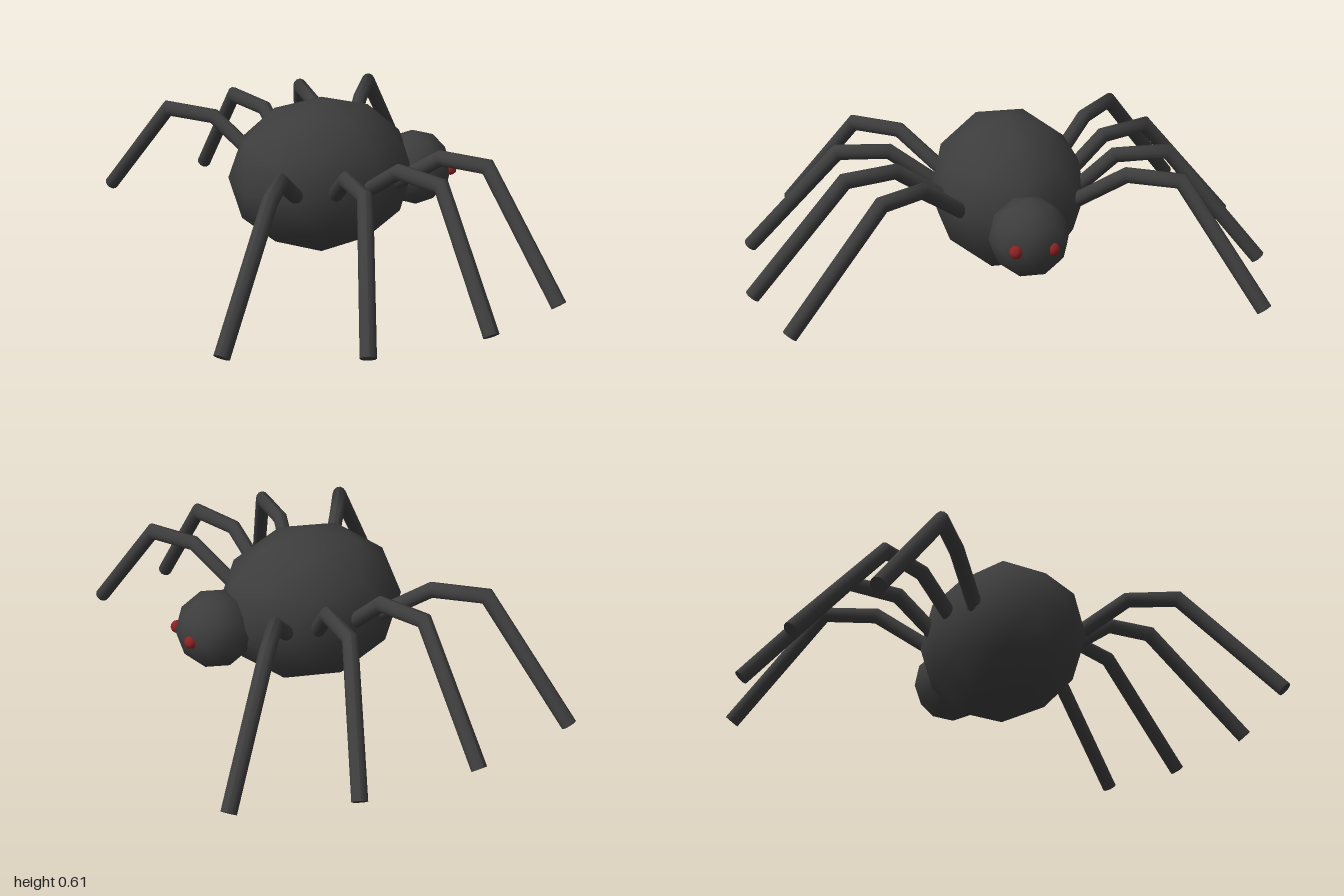
import * as THREE from 'three';

const dark = new THREE.MeshStandardMaterial({ color: 0x3d3d3d });
const red = new THREE.MeshStandardMaterial({ color: 0x8c2222 });

// Smooth-shaded icosphere with a vertex pointing straight up
function ball(name, material, [rx, ry, rz], [x, y, z]) {
  const geo = new THREE.IcosahedronGeometry(1, 1);
  geo.rotateZ(-Math.atan(2 / (1 + Math.sqrt(5))));
  geo.scale(rx, ry, rz);
  const mesh = new THREE.Mesh(geo, material);
  mesh.name = name;
  mesh.position.set(x, y, z);
  return mesh;
}

// Jointed tube: the rings of a cylinder are moved to mitred joints along the path
function leg(name, path, radius) {
  const n = path.length - 1;
  const geo = new THREE.CylinderGeometry(radius, radius, n, 12, n);
  const side = path[n].clone().sub(path[0]).cross(new THREE.Vector3(0, 1, 0)).normalize();
  const frames = path.map((p, i) => {
    const before = path[Math.max(i, 1)].clone().sub(path[Math.max(i, 1) - 1]).normalize();
    const next = Math.min(i + 1, n);
    const after = path[next].clone().sub(path[next - 1]).normalize();
    const t = before.clone().add(after).normalize();
    const u = side.clone().addScaledVector(t, -side.dot(t)).normalize();
    const v = u.clone().cross(t).multiplyScalar(1 / t.dot(before));
    return { p, u, v };
  });
  const pos = geo.attributes.position;
  for (let i = 0; i < pos.count; i++) {
    const { p, u, v } = frames[Math.round(pos.getY(i) + n / 2)];
    const q = p.clone().addScaledVector(u, pos.getX(i)).addScaledVector(v, pos.getZ(i));
    pos.setXYZ(i, q.x, q.y, q.z);
  }
  geo.computeVertexNormals();
  const mesh = new THREE.Mesh(geo, dark);
  mesh.name = name;
  return mesh;
}

// Each leg as x, z pairs: root, inner joint, outer joint, foot
const LEGS = {
  rightLegBack1: [-0.19, -0.25, -0.32, -0.41, -0.468, -0.555, -0.645, -0.875],
  rightLegBack2: [-0.06, -0.27, -0.098, -0.43, -0.167, -0.62, -0.198, -0.977],
  rightLegBack3: [0.08, -0.27, 0.114, -0.42, 0.13, -0.625, 0.265, -0.967],
  rightLegBack4: [0.19, -0.24, 0.315, -0.41, 0.426, -0.585, 0.685, -0.835],
  leftLegFront1: [-0.19, 0.185, -0.315, 0.35, -0.415, 0.52, -0.685, 0.78],
  leftLegFront2: [-0.055, 0.22, -0.093, 0.42, -0.103, 0.616, -0.237, 0.965],
  leftLegFront3: [0.07, 0.22, 0.114, 0.42, 0.188, 0.616, 0.214, 0.977],
  leftLegFront4: [0.2, 0.185, 0.315, 0.35, 0.426, 0.51, 0.545, 0.862],
};
const HEIGHTS = [0.31, 0.455, 0.462, 0.043];

export function createModel() {
  const model = new THREE.Group();
  model.name = 'spider';

  // Body and head
  model.add(ball('abdomen', dark, [0.367, 0.304, 0.3], [-0.01, 0.305, -0.027]));
  model.add(ball('head', dark, [0.15, 0.15, 0.15], [0.387, 0.275, -0.027]));

  // Pair of eyes
  for (const s of [-1, 1]) {
    model.add(ball(s > 0 ? 'eyeFront' : 'eyeBack', red, [0.025, 0.025, 0.025], [0.511, 0.275, -0.02 + s * 0.068]));
  }

  // Eight legs
  for (const [name, xz] of Object.entries(LEGS)) {
    const path = HEIGHTS.map((y, i) => new THREE.Vector3(xz[2 * i], y, xz[2 * i + 1]));
    model.add(leg(name.replace('right', 'rear').replace('left', 'near').replace(/Back|Front/, ''), path, 0.029));
  }
  return model;
}
